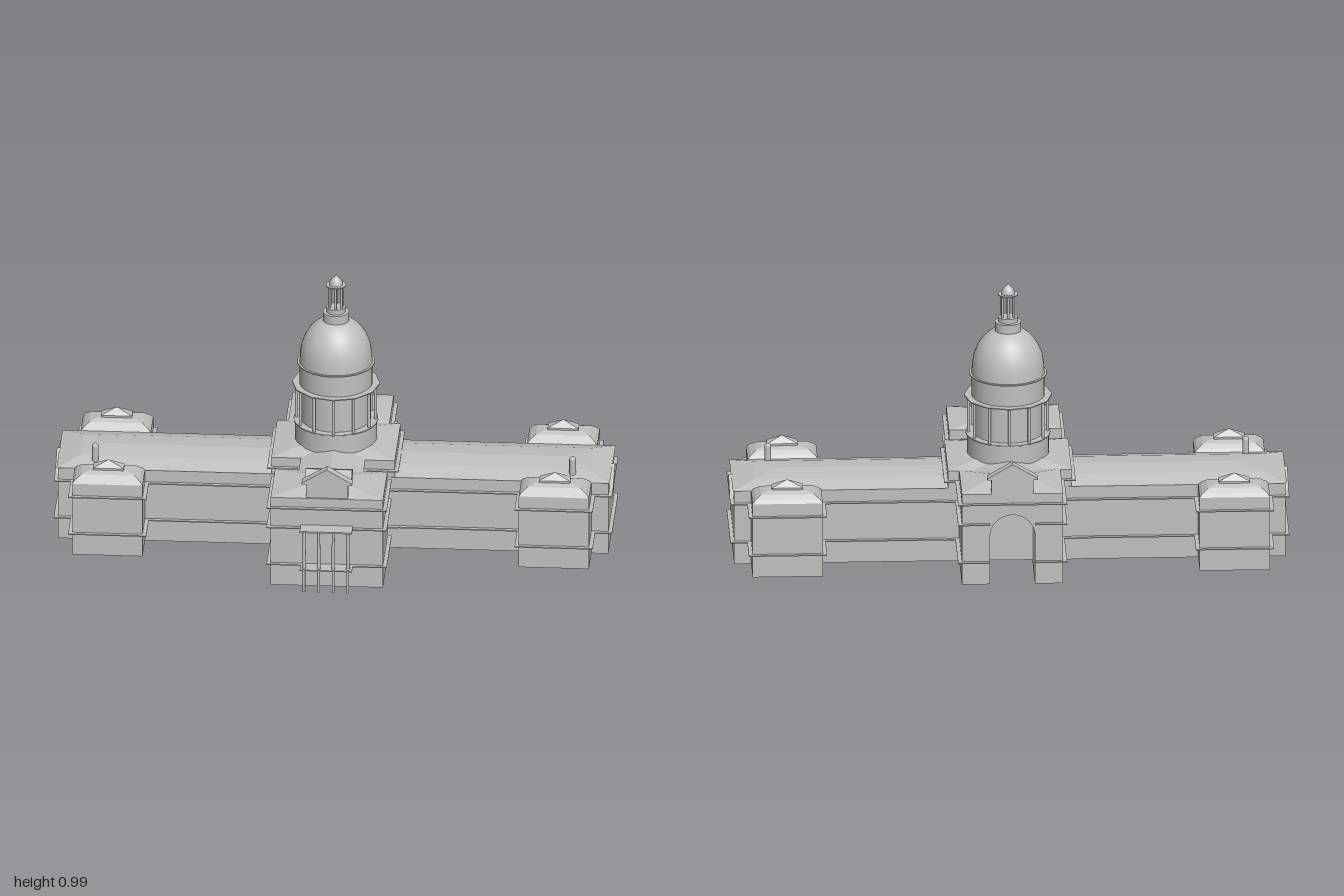
import * as THREE from 'three';

// Walls and roofs are open shells, so both sides show
const stone = new THREE.MeshStandardMaterial({ color: 0xc0c0c0, side: THREE.DoubleSide });
stone.name = 'stone grey';
const AXIS_Z = -0.07; // dome and long range share this centre line

// Right half of each wall line [x, z], from front to back
const LOWER = [[0.2, 0.42], [0.2, 0.18], [0.11, 0.18], [0.11, 0.086], [0.22, 0.086], [0.22, 0.083],
  [0.67, 0.083], [0.67, 0.216], [0.92, 0.216], [0.92, 0.083], [0.98, 0.083], [0.98, -0.224],
  [0.92, -0.224], [0.92, -0.36], [0.67, -0.36], [0.67, -0.224], [0.22, -0.224], [0.22, -0.228],
  [0.18, -0.228], [0.18, -0.463]];
const UPPER = [...LOWER.slice(0, 5), ...LOWER.slice(-3)];
const mirrored = half => [...half.map(([x, z]) => [-x, z]).reverse(), ...half];

// Portal arch
const ARCH = { half: 0.08, spring: 0.182 };

export function createModel() {
  const model = new THREE.Group();

  const add = (name, geo, x = 0, y = 0, z = 0) => {
    const mesh = new THREE.Mesh(geo, stone);
    mesh.name = name;
    mesh.position.set(x, y, z);
    model.add(mesh);
    return mesh;
  };
  const box = (name, x0, x1, y0, y1, z0, z1) =>
    add(name, new THREE.BoxGeometry(x1 - x0, y1 - y0, z1 - z0),
      (x0 + x1) / 2, (y0 + y1) / 2, (z0 + z1) / 2);
  const cyl = (name, rTop, rBottom, y0, y1, x, z, sides = 32, open = false) =>
    add(name, new THREE.CylinderGeometry(rTop, rBottom, y1 - y0, sides, 1, open), x, (y0 + y1) / 2, z);

  // Flat-shaded surface through consecutive rows of points
  const loft = (name, rows) => {
    const pos = [];
    for (let i = 0; i + 1 < rows.length; i++)
      for (let k = 0; k + 1 < rows[i].length; k++) {
        const [a, b, c, d] = [rows[i][k], rows[i][k + 1], rows[i + 1][k + 1], rows[i + 1][k]];
        pos.push(...a, ...b, ...c, ...a, ...c, ...d);
      }
    const geo = new THREE.BufferGeometry();
    geo.setAttribute('position', new THREE.Float32BufferAttribute(pos, 3));
    geo.computeVertexNormals();
    return add(name, geo);
  };

  const walls = (name, path, y0, y1) =>
    loft(name, [y0, y1].map(y => path.map(([x, z]) => [x, y, z])));

  // Thin string course along a wall line, with an optional gap at the back
  const band = (half, y, gap, out = 0.014) => {
    const backZ = half[half.length - 1][1];
    const path = mirrored([...half, [gap, backZ]]);
    const normal = (a, b) => [-Math.sign(b[1] - a[1]), Math.sign(b[0] - a[0])];
    const outer = path.map((p, i) => {
      const n = i > 0 ? normal(path[i - 1], p) : [0, 0];
      const m = i + 1 < path.length ? normal(p, path[i + 1]) : [0, 0];
      return [p[0] + out * (n[0] + m[0]), p[1] + out * (n[1] + m[1])];
    });
    const shape = new THREE.Shape([...outer, ...path.reverse()].map(([x, z]) => new THREE.Vector2(x, -z)));
    const geo = new THREE.ExtrudeGeometry(shape, { depth: 0.004, bevelEnabled: false });
    add('stringCourse', geo.rotateX(-Math.PI / 2), 0, y - 0.002, 0);
  };

  // Roof lofted from rectangles; each level is [inset in x, inset in z, height]
  const roof = (name, x0, x1, z0, z1, levels) => {
    const rows = levels.map(([ix, iz, y]) => {
      const [a, b, c, d] = [x0 + ix, x1 - ix, z0 + iz, z1 - iz];
      return [[a, y, d], [b, y, d], [b, y, c], [a, y, c], [a, y, d]];
    });
    const [a, b, c, d] = rows[rows.length - 1];
    rows.push([a, b, b, a, a]);       // close the top
    rows[rows.length - 1] = [d, c, c, d, d];
    return loft(name, rows);
  };

  // Triangular prism along z
  const gable = (name, half, yBase, yTop, z0, z1) => {
    const s = new THREE.Shape();
    s.moveTo(-half, 0); s.lineTo(half, 0); s.lineTo(0, yTop - yBase); s.closePath();
    return add(name, new THREE.ExtrudeGeometry(s, { depth: z1 - z0, bevelEnabled: false }), 0, yBase, z0);
  };

  // Gabled roof surface along z, open underneath
  const gableRoof = (name, half, yBase, yTop, z0, z1) =>
    loft(name, [z1, z0].map(z => [[-half, yBase, z], [0, yTop, z], [half, yBase, z]]));

  // Walls and string courses
  walls('lowerWalls', mirrored(LOWER), 0, 0.277);
  walls('upperWalls', mirrored([...UPPER, [0, -0.463]]), 0.277, 0.342);
  for (const y of [0.085, 0.229]) band(LOWER, y, ARCH.half);
  band(UPPER, 0.305, 0.001);

  // Back wall with an arched portal
  const arch = [[ARCH.half, 0]];
  for (let i = 0; i <= 20; i++) {
    const a = i / 20 * Math.PI;
    arch.push([Math.cos(a) * ARCH.half, ARCH.spring + Math.sin(a) * ARCH.half]);
  }
  arch.push([-ARCH.half, 0]);
  const archPoints = arch.map(p => new THREE.Vector2(...p));
  const corners = [[-0.18, 0], [-0.18, 0.277], [0.18, 0.277], [0.18, 0]].map(p => new THREE.Vector2(...p));
  const backWall = new THREE.ShapeGeometry(new THREE.Shape([...archPoints, ...corners]));
  add('backWall', backWall.rotateY(Math.PI), 0, 0, -0.463);
  loft('portalVault', [-0.463, -0.225].map(z => arch.map(([x, y]) => [x, y, z])));
  const portalEnd = new THREE.ShapeGeometry(new THREE.Shape(archPoints));
  add('portalEnd', portalEnd.rotateY(Math.PI), 0, 0, -0.225);

  // Long hipped roof
  roof('longRoof', -0.985, 0.985, -0.229, 0.088,
    [[0, 0, 0.278], [0.08, 0.07, 0.298], [0.17, 0.158, 0.306]]);

  for (const side of [-1, 1]) {
    // End pediments
    const pediment = gable('endPediment', 0.105, 0.229, 0.283, 0, 0.014);
    pediment.rotation.y = side * Math.PI / 2;
    pediment.position.set(side * 0.98, 0.229, AXIS_Z);

    // Chimneys
    cyl('chimney', 0.012, 0.012, 0.28, 0.345, side * 0.85, 0.04, 12);
    add('chimneyCap', new THREE.SphereGeometry(0.012, 12, 6), side * 0.85, 0.345, 0.04);

    // Domed roofs of the corner pavilions
    const [x0, x1] = side > 0 ? [0.67, 0.92] : [-0.92, -0.67];
    for (const [z0, z1] of [[0.083, 0.216], [-0.36, -0.224]]) {
      roof('pavilionRoof', x0, x1, z0, z1, [[0, 0, 0.277], [0.01, 0.008, 0.29],
        [0.03, 0.024, 0.304], [0.055, 0.042, 0.312], [0.08, 0.055, 0.315]]);
      const cx = (x0 + x1) / 2, cz = (z0 + z1) / 2;
      roof('pavilionCap', cx - 0.055, cx + 0.055, cz - 0.022, cz + 0.022,
        [[0, 0, 0.312], [0, 0, 0.32], [0.055, 0.022, 0.345]]);
    }
  }

  // Roofs of the central, front and back blocks
  roof('centralRoof', -0.22, 0.22, -0.228, 0.086,
    [[0, 0, 0.342], [0.07, 0.05, 0.356], [0.13, 0.08, 0.363]]);
  gableRoof('frontLinkRoof', 0.115, 0.342, 0.371, 0.02, 0.3);
  roof('frontRoof', -0.2, 0.2, 0.18, 0.42, [[0, 0, 0.342], [0.12, 0.075, 0.362], [0.14, 0.118, 0.371]]);
  roof('frontRoofCap', -0.083, 0.083, 0.255, 0.347,
    [[0, 0, 0.36], [0, 0, 0.384], [0, 0.046, 0.403]]);
  roof('backRoof', -0.18, 0.18, -0.463, -0.22, [[0, 0, 0.342], [0.1, 0.1, 0.366], [0.15, 0.12, 0.371]]);
  gableRoof('backLinkRoof', 0.13, 0.342, 0.372, -0.36, -0.16);

  // Pedimented dormers above the front and back walls
  for (const [z0, z1] of [[0.385, 0.42], [-0.468, -0.433]]) {
    box('dormer', -0.075, 0.075, 0.335, 0.4, z0 + 0.004, z1 - 0.004);
    box('dormerCornice', -0.09, 0.09, 0.396, 0.402, z0, z1);
    gable('dormerPediment', 0.09, 0.402, 0.455, z0, z1);
  }

  // Front portico
  box('porticoRoof', -0.093, 0.093, 0.232, 0.238, 0.42, 0.477);
  box('porticoFloor', -0.093, 0.093, 0.083, 0.087, 0.42, 0.477);
  for (const x of [-0.078, -0.026, 0.026, 0.078]) {
    cyl('porticoColumn', 0.005, 0.007, 0.087, 0.232, x, 0.462, 10);
    cyl('porticoPost', 0.005, 0.005, 0, 0.083, x, 0.471, 10);
  }

  // Drum, colonnade and galleries
  cyl('drumBase', 0.146, 0.146, 0.355, 0.428, 0, AXIS_Z, 32, true);
  cyl('lowerGallery', 0.151, 0.151, 0.428, 0.432, 0, AXIS_Z, 24);
  cyl('drum', 0.124, 0.124, 0.432, 0.57, 0, AXIS_Z, 32, true);
  cyl('upperGallery', 0.157, 0.157, 0.569, 0.573, 0, AXIS_Z, 12);
  for (let i = 0; i < 12; i++) {
    const a = i / 12 * Math.PI * 2;
    cyl('drumColumn', 0.0055, 0.0055, 0.432, 0.57, Math.sin(a) * 0.141, AXIS_Z + Math.cos(a) * 0.141, 10);
  }
  cyl('upperDrum', 0.13, 0.13, 0.572, 0.655, 0, AXIS_Z, 32, true);
  cyl('domeRing', 0.138, 0.138, 0.653, 0.657, 0, AXIS_Z);

  // Dome
  const profile = [[0.13, 0.655], [0.128, 0.69], [0.122, 0.725], [0.109, 0.758],
    [0.095, 0.78], [0.078, 0.798], [0.06, 0.812], [0.045, 0.818]];
  add('dome', new THREE.LatheGeometry(profile.map(p => new THREE.Vector2(...p)), 40), 0, 0, AXIS_Z);

  // Lantern
  cyl('lanternBase', 0.047, 0.047, 0.815, 0.85, 0, AXIS_Z);
  cyl('lanternStep', 0.034, 0.034, 0.85, 0.868, 0, AXIS_Z);
  for (let i = 0; i < 6; i++) {
    const a = i / 6 * Math.PI * 2;
    cyl('lanternColumn', 0.0045, 0.0045, 0.868, 0.952, Math.sin(a) * 0.024, AXIS_Z + Math.cos(a) * 0.024, 8);
  }
  cyl('lanternRoof', 0.036, 0.036, 0.951, 0.955, 0, AXIS_Z, 24);
  const cupola = [[0.024, 0.955], [0.023, 0.964], [0.018, 0.975], [0.009, 0.984], [0.004, 0.987], [0.004, 0.991], [0, 0.993]];
  add('cupola', new THREE.LatheGeometry(cupola.map(p => new THREE.Vector2(...p)), 20), 0, 0, AXIS_Z);

  return model;
}
